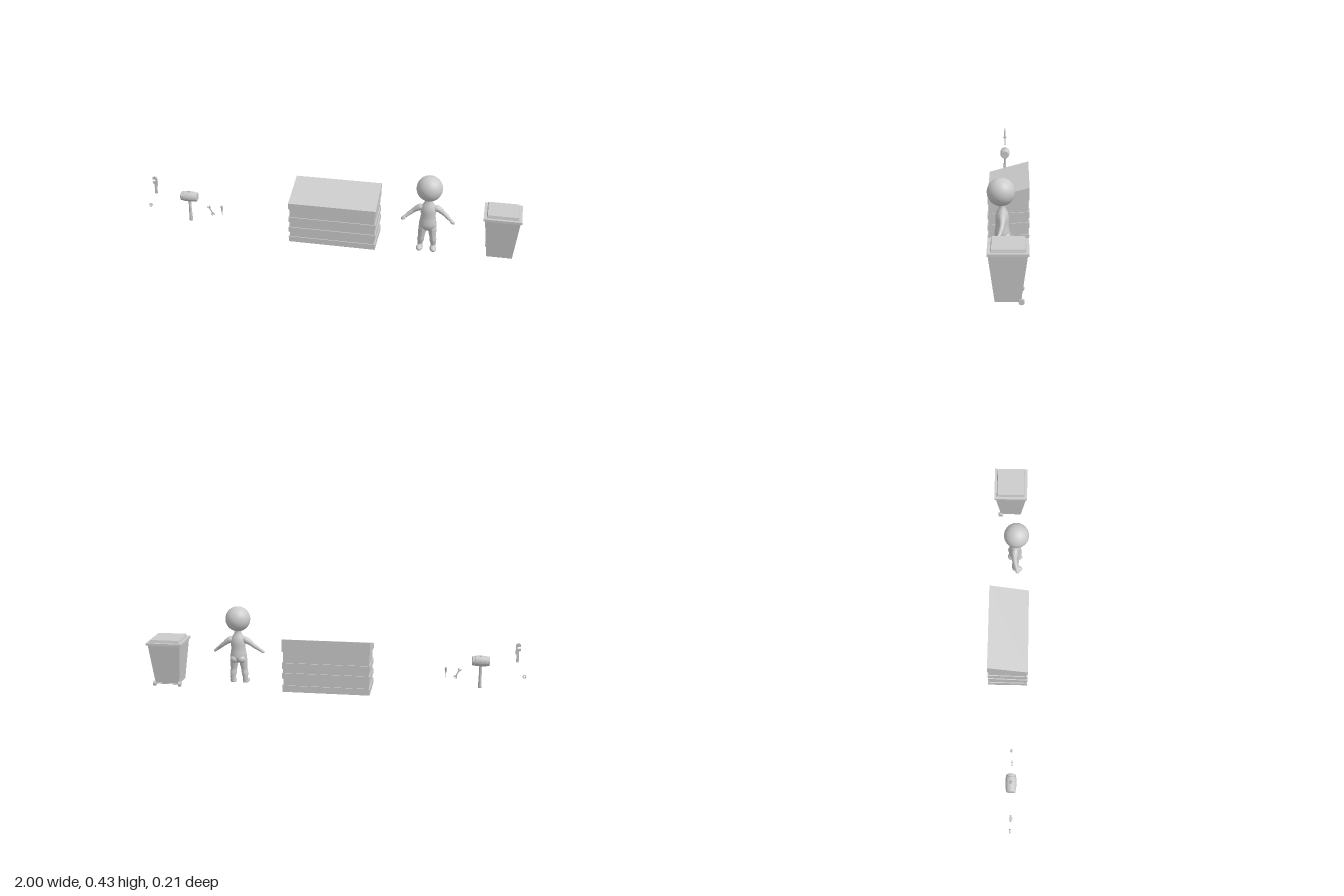
import * as THREE from 'three';

const smooth = new THREE.MeshStandardMaterial({ color: 0xcccccc });
const flat = new THREE.MeshStandardMaterial({ color: 0xcccccc, flatShading: true });

function add(parent, name, geometry, material, x = 0, y = 0, z = 0) {
  const mesh = new THREE.Mesh(geometry, material);
  mesh.name = name;
  mesh.position.set(x, y, z);
  parent.add(mesh);
  return mesh;
}

function group(parent, name, x, y, z) {
  const g = new THREE.Group();
  g.name = name;
  g.position.set(x, y, z);
  parent.add(g);
  return g;
}

// box whose top and bottom have different widths and depths
function taperedBox(wTop, dTop, wBottom, dBottom, h) {
  const geo = new THREE.BoxGeometry(1, h, 1);
  const p = geo.attributes.position;
  for (let i = 0; i < p.count; i++) {
    const top = p.getY(i) > 0;
    p.setX(i, p.getX(i) * (top ? wTop : wBottom));
    p.setZ(i, p.getZ(i) * (top ? dTop : dBottom));
  }
  geo.computeVertexNormals();
  return geo;
}

// tube along a smooth path, its radius following a list of values
function limb(points, radii, segments = 24, sides = 14) {
  const curve = new THREE.CatmullRomCurve3(points.map((a) => new THREE.Vector3(...a)));
  const geo = new THREE.TubeGeometry(curve, segments, 1, sides);
  const p = geo.attributes.position;
  const v = new THREE.Vector3();
  for (let i = 0; i < p.count; i++) {
    const t = Math.floor(i / (sides + 1)) / segments;
    const c = curve.getPointAt(t);
    const f = t * (radii.length - 1);
    const k = Math.min(Math.floor(f), radii.length - 2);
    const r = THREE.MathUtils.lerp(radii[k], radii[k + 1], f - k);
    v.fromBufferAttribute(p, i).sub(c).multiplyScalar(r).add(c);
    p.setXYZ(i, v.x, v.y, v.z);
  }
  geo.computeVertexNormals();
  return geo;
}

function lathe(profile, sides = 24) {
  return new THREE.LatheGeometry(profile.map(([r, y]) => new THREE.Vector2(r, y)), sides);
}

// flat outline given a small thickness, centred on z
function plate(shape, depth) {
  const geo = new THREE.ExtrudeGeometry(shape, { depth, bevelEnabled: false, curveSegments: 10 });
  return geo.translate(0, 0, -depth / 2);
}

function polygon(points) {
  return new THREE.Shape(points.map(([x, y]) => new THREE.Vector2(x, y)));
}

// large banded container with a top that rises to the back
function buildContainer(root) {
  const front = [0.012, 0.042, 0.07, 0.098, 0.13, 0.157, 0.208, 0.238];
  const back = [0.012, 0.047, 0.085, 0.115, 0.137, 0.17, 0.23, 0.297];
  const rows = 13;
  const geo = new THREE.BoxGeometry(1, 1, 1, 1, rows, 1);
  const p = geo.attributes.position;
  for (let i = 0; i < p.count; i++) {
    const row = Math.round((p.getY(i) + 0.5) * rows);
    const band = Math.floor(row / 2);
    const inset = band % 2 ? 0.005 : 0;
    const level = band + (row % 2);
    p.setXYZ(i,
      Math.sign(p.getX(i)) * (0.23 - inset),
      (p.getZ(i) > 0 ? front : back)[level],
      Math.sign(p.getZ(i)) * (0.105 - inset));
  }
  geo.computeVertexNormals();
  add(root, 'container', geo, flat, 0.032, 0, 0);
}

// wheeled bin with a lid
function buildBin(root) {
  const bin = group(root, 'bin', 0.901, 0, -0.002);
  add(bin, 'binBody', taperedBox(0.176, 0.17, 0.13, 0.114, 0.221), flat, 0, 0.1225, 0);
  add(bin, 'lidRim', new THREE.BoxGeometry(0.192, 0.012, 0.182), flat, 0, 0.239, -0.001);
  add(bin, 'lidPanel', taperedBox(0.154, 0.146, 0.162, 0.154, 0.015), flat, 0, 0.2525, -0.002);
  for (const side of [-1, 1]) {
    const wheel = add(bin, 'wheel', new THREE.CylinderGeometry(0.0135, 0.0135, 0.014, 20),
      flat, side * 0.069, 0.0145, -0.059);
    wheel.rotation.z = Math.PI / 2;
  }
  const axle = add(bin, 'axle', new THREE.CylinderGeometry(0.003, 0.003, 0.13, 8), flat, 0, 0.0145, -0.059);
  axle.rotation.z = Math.PI / 2;
}

// figure with a ball head, standing with arms held out
function buildFigure(root) {
  const figure = group(root, 'figure', 0.524, 0, 0.028);
  add(figure, 'head', new THREE.SphereGeometry(0.0665, 40, 28), smooth, 0, 0.3635, 0.005);
  const torso = add(figure, 'torso', lathe([[0, 0.122], [0.028, 0.127], [0.043, 0.145], [0.045, 0.162],
    [0.041, 0.185], [0.038, 0.205], [0.04, 0.228], [0.039, 0.248], [0.031, 0.268], [0.021, 0.283],
    [0.017, 0.297], [0.019, 0.312]], 32), smooth);
  torso.scale.z = 0.8;
  for (const s of [-1, 1]) {
    add(figure, 'arm', limb([[s * 0.022, 0.256, 0], [s * 0.05, 0.246, -0.002], [s * 0.085, 0.22, 0],
      [s * 0.113, 0.197, 0.009], [s * 0.126, 0.188, 0.013]],
    [0.012, 0.018, 0.015, 0.012, 0.011, 0.009, 0.008]), smooth);
    const hand = add(figure, 'hand', new THREE.SphereGeometry(1, 16, 12), smooth, s * 0.127, 0.186, 0.014);
    hand.scale.set(0.014, 0.008, 0.011);
    hand.rotation.z = s * -0.7;
    add(figure, 'thumb', limb([[s * 0.116, 0.192, 0.014], [s * 0.12, 0.185, 0.022], [s * 0.124, 0.178, 0.024]],
      [0.005, 0.004, 0.0005], 8, 8), smooth);
    const buttock = add(figure, 'buttock', new THREE.SphereGeometry(0.023, 16, 12), smooth, s * 0.019, 0.147, -0.017);
    buttock.scale.y = 0.95;
    add(figure, 'leg', limb([[s * 0.022, 0.155, 0], [s * 0.026, 0.12, 0.002], [s * 0.03, 0.08, 0.003],
      [s * 0.034, 0.045, -0.002], [s * 0.034, 0.018, -0.003]],
    [0.022, 0.023, 0.02, 0.017, 0.018, 0.014, 0.012]), smooth);
    // foot, flattened at the sole
    const geo = new THREE.SphereGeometry(1, 20, 14);
    const p = geo.attributes.position;
    for (let i = 0; i < p.count; i++) p.setY(i, Math.max(p.getY(i), -0.4));
    geo.computeVertexNormals();
    const foot = add(figure, 'foot', geo, smooth, s * 0.035, 0.0185, 0.013);
    foot.scale.set(0.017, 0.0155, 0.029);
    foot.rotation.y = s * 0.15;
  }
}

// mallet with a barrel head lying along x
function buildMallet(root) {
  const mallet = group(root, 'mallet', -0.764, 0, 0.028);
  const head = add(mallet, 'malletHead', lathe([[0, -0.045], [0.021, -0.045], [0.024, -0.043],
    [0.0245, -0.032], [0.0265, -0.03], [0.028, 0], [0.0265, 0.03], [0.0245, 0.032],
    [0.024, 0.043], [0.021, 0.045], [0, 0.045]]), flat, 0, 0.183, 0);
  head.rotation.z = Math.PI / 2;
  add(mallet, 'malletHandle', lathe([[0, 0.037], [0.009, 0.037], [0.0095, 0.042], [0.008, 0.09],
    [0.007, 0.13], [0.008, 0.212], [0, 0.213]], 16), smooth);
}

// adjustable wrench: handle, hooked upper jaw, sliding lower jaw
function buildPipeWrench(root) {
  const wrench = group(root, 'pipeWrench', -0.95, 0, 0.03);
  add(wrench, 'wrenchHandle', plate(polygon([[-0.005, 0.183], [0.005, 0.183], [0.007, 0.19],
    [0.005, 0.225], [0.004, 0.24], [-0.005, 0.24], [-0.005, 0.225], [-0.007, 0.19]]), 0.008), flat);
  add(wrench, 'hookJaw', plate(polygon([[0.003, 0.226], [0.011, 0.226], [0.012, 0.272], [0.008, 0.282],
    [-0.004, 0.285], [-0.013, 0.279], [-0.014, 0.268], [-0.002, 0.268], [0.003, 0.263]]), 0.01), flat);
  add(wrench, 'lowerJaw', plate(polygon([[-0.013, 0.245], [0.006, 0.236], [0.006, 0.256],
    [-0.014, 0.256]]), 0.008), flat);
  add(wrench, 'adjustingNut', new THREE.CylinderGeometry(0.009, 0.009, 0.008, 12), flat, 0.004, 0.231, 0);
}

// spanner with an open jaw at each end
function buildSpanner(root) {
  const spanner = group(root, 'spanner', -0.646, 0.11, 0.031);
  spanner.rotation.z = 0.45;
  add(spanner, 'spannerShaft', new THREE.BoxGeometry(0.006, 0.044, 0.004), flat);
  for (const s of [-1, 1]) {
    const jaw = add(spanner, 'spannerJaw', plate(polygon([[-0.003, -0.008], [0.003, -0.008], [0.009, -0.001],
      [0.008, 0.007], [0.004, 0.009], [0.004, 0.001], [-0.004, 0.001], [-0.004, 0.009],
      [-0.008, 0.007], [-0.009, -0.001]]), 0.005), flat, 0, s * 0.022, 0);
    if (s < 0) jaw.rotation.z = Math.PI;
  }
}

// screwdriver, handle upward
function buildScrewdriver(root) {
  add(root, 'screwdriver', lathe([[0, 0.087], [0.0018, 0.087], [0.0022, 0.113], [0.004, 0.114],
    [0.0055, 0.119], [0.0045, 0.124], [0.006, 0.13], [0.006, 0.139], [0.004, 0.143], [0, 0.143]], 12),
  flat, -0.585, 0, 0.028);
}

// small hexagonal nut
function buildNut(root) {
  const ring = polygon([0, 1, 2, 3, 4, 5].map((i) => [0.01 * Math.cos(i * Math.PI / 3), 0.01 * Math.sin(i * Math.PI / 3)]));
  const hole = new THREE.Path();
  hole.absarc(0, 0, 0.0055, 0, Math.PI * 2, true);
  ring.holes.push(hole);
  add(root, 'nut', plate(ring, 0.008), flat, -0.99, 0.107, 0.027);
}

export function createModel() {
  const root = new THREE.Group();
  root.name = 'yardSet';
  buildContainer(root);
  buildBin(root);
  buildFigure(root);
  buildMallet(root);
  buildPipeWrench(root);
  buildSpanner(root);
  buildScrewdriver(root);
  buildNut(root);
  return root;
}
